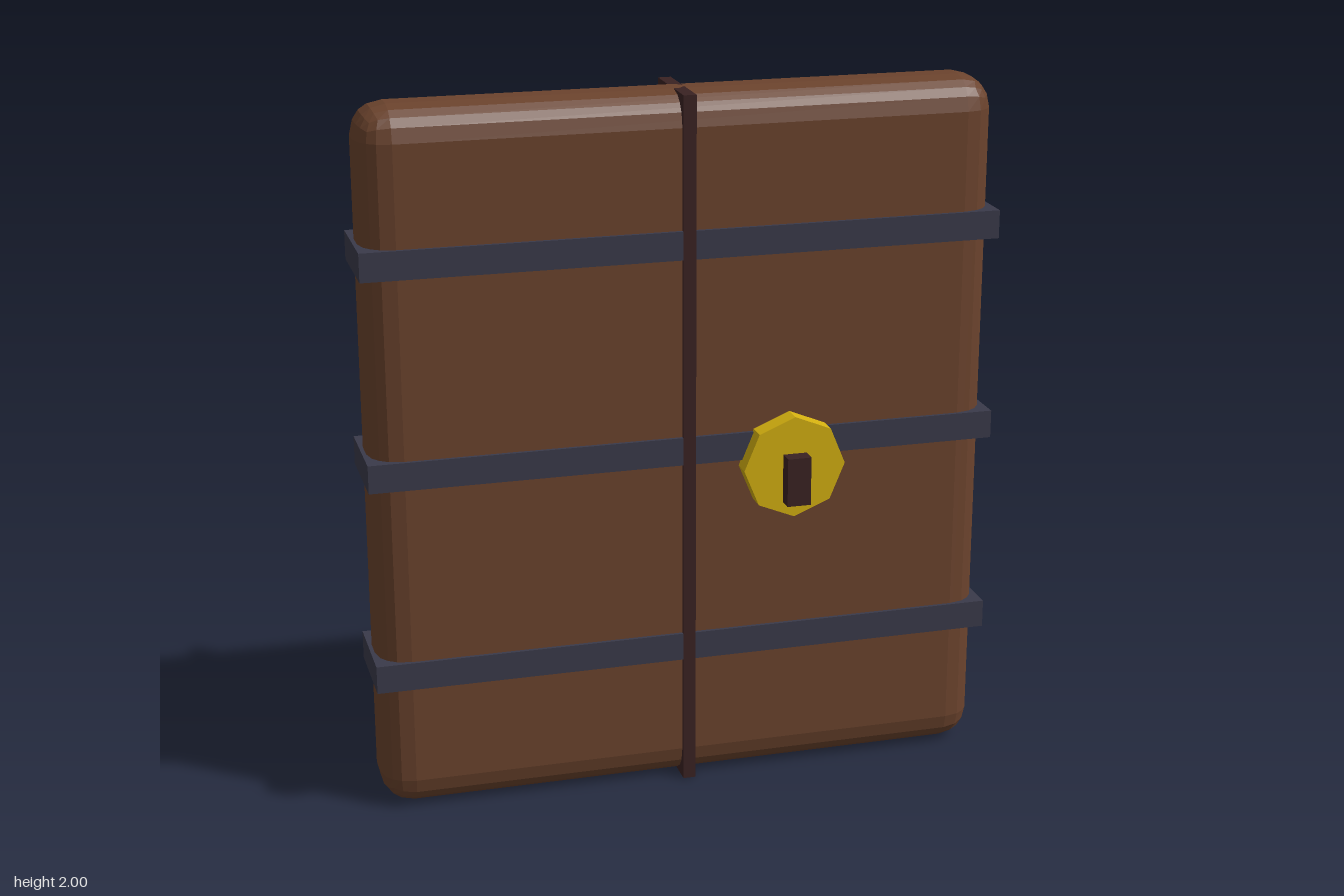
import * as THREE from 'three';
import { RoundedBoxGeometry } from 'three/addons/geometries/RoundedBoxGeometry.js';

const material = (name, color, flatShading = false) => {
  const m = new THREE.MeshStandardMaterial({ color, flatShading });
  m.name = name;
  return m;
};

export function createModel() {
  const wood = material('brown wood', 0x6b432d, true);
  const iron = material('blue grey iron', 0x3a3a4a);
  const dark = material('dark seam', 0x3a2222);
  const brass = material('yellow brass', 0xd4b010, true);

  const group = new THREE.Group();
  group.name = 'door';
  const add = (name, geometry, mat, x, y, z) => {
    const mesh = new THREE.Mesh(geometry, mat);
    mesh.name = name;
    mesh.position.set(x, y, z);
    group.add(mesh);
  };
  const midZ = -0.045;

  // Thick door slab with softly bevelled edges
  add('doorSlab', new RoundedBoxGeometry(1.768, 2, 0.24, 2, 0.09), wood, 0, 1, midZ);

  // Iron bands wrapping the slab
  for (const y of [0.415, 1.003, 1.59]) {
    add('ironBand', new THREE.BoxGeometry(1.79, 0.08, 0.26), iron, 0, y, midZ);
  }

  // Seam between the two door halves
  add('centreSeam', new THREE.BoxGeometry(0.036, 2, 0.264), dark, 0, 1, midZ);

  // Octagonal lock plate and keyhole block
  const plate = new THREE.CylinderGeometry(0.147, 0.147, 0.06, 8).rotateX(Math.PI / 2);
  add('lockPlate', plate, brass, 0.292, 0.945, 0.102);
  add('keyhole', new THREE.BoxGeometry(0.068, 0.14, 0.08), dark, 0.292, 0.915, 0.136);

  return group;
}
